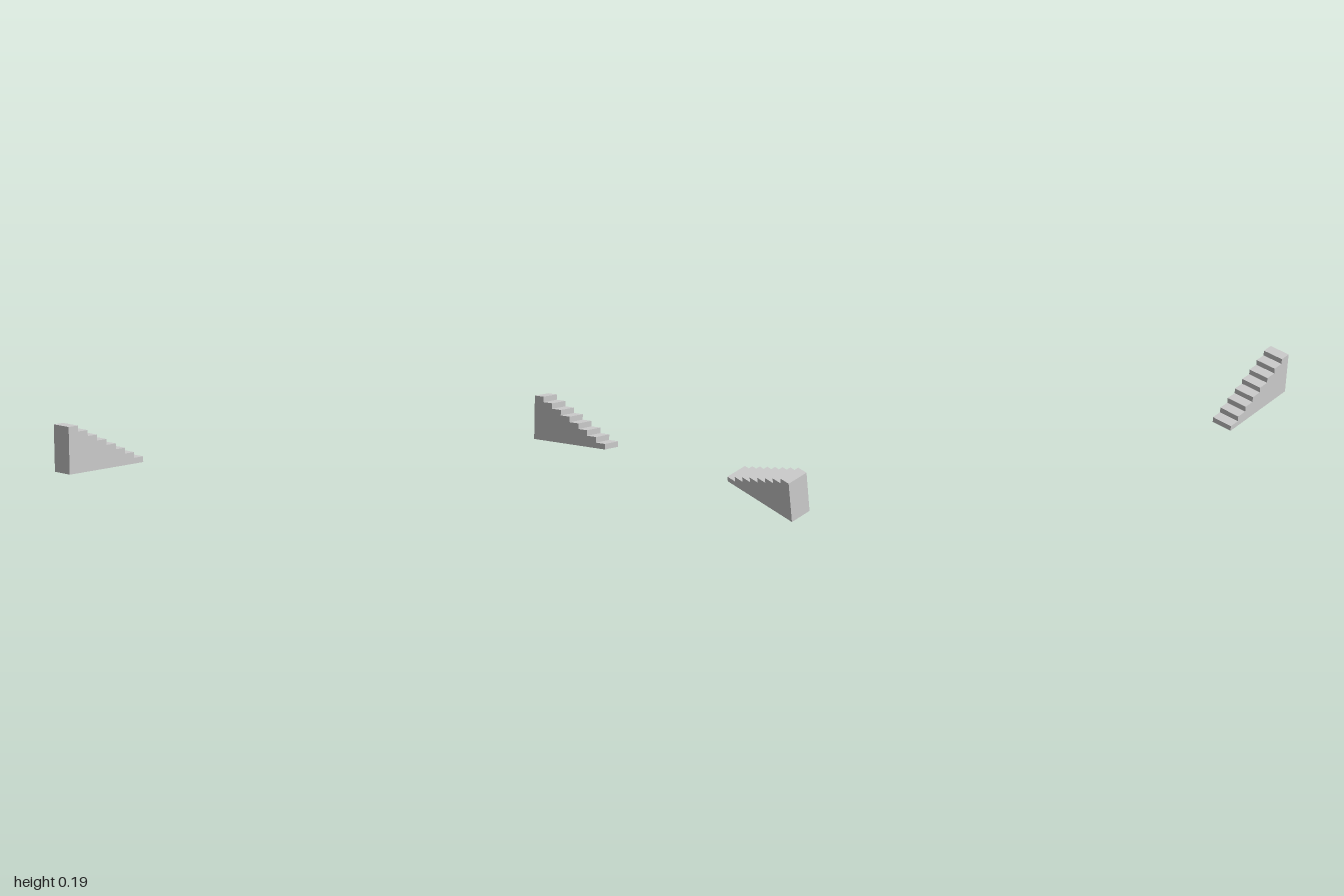
import * as THREE from 'three';

const STEPS = 8, RUN = 0.378, RISE = 0.19, WIDTH = 0.093;
const HALF_X = 0.638, HALF_Z = 1;
const material = new THREE.MeshStandardMaterial({
  color: 0xcccccc, flatShading: true, side: THREE.DoubleSide,
});

function addPart(parent, name, geometry) {
  const mesh = new THREE.Mesh(geometry, material);
  mesh.name = name;
  parent.add(mesh);
  return mesh;
}

// Hollow flight, open underneath: tall end at x = 0, descending towards +x
function createStaircase(name) {
  const stairs = new THREE.Group();
  stairs.name = name;
  const going = RUN / STEPS, riser = RISE / STEPS;

  // Stepped side walls
  const profile = new THREE.Shape().moveTo(0, 0).lineTo(0, RISE);
  for (let i = 0; i < STEPS; i++) {
    const x = (i + 1) * going, y = RISE - i * riser;
    profile.lineTo(x, y);
    profile.lineTo(x, y - riser);

    // Tread and the riser below its front edge
    const tread = addPart(stairs, 'tread',
      new THREE.PlaneGeometry(going, WIDTH).rotateX(-Math.PI / 2));
    tread.position.set(x - going / 2, y, 0);
    const face = addPart(stairs, 'riser',
      new THREE.PlaneGeometry(WIDTH, riser).rotateY(Math.PI / 2));
    face.position.set(x, y - riser / 2, 0);
  }
  for (const side of [1, -1]) {
    const wall = new THREE.ShapeGeometry(profile);
    // Reverse the far wall's corners so that it faces outwards
    if (side < 0) wall.index.array.reverse();
    if (side < 0) wall.attributes.normal.array.fill(-1).forEach((v, i, a) => { a[i] = i % 3 === 2 ? -1 : 0; });
    addPart(stairs, 'sideWall', wall).position.z = side * WIDTH / 2;
  }

  // Tall end wall
  addPart(stairs, 'endWall', new THREE.PlaneGeometry(WIDTH, RISE).rotateY(-Math.PI / 2))
    .position.y = RISE / 2;
  return stairs;
}

export function createModel() {
  const model = new THREE.Group();
  model.name = 'staircases';

  // Rear flight descends towards +x
  const rear = createStaircase('rearStaircase');
  rear.position.set(HALF_X - RUN, 0, -HALF_Z + WIDTH / 2);

  // Front flight descends towards -z
  const front = createStaircase('frontStaircase');
  front.rotation.y = Math.PI / 2;
  front.position.set(-HALF_X + WIDTH / 2, 0, HALF_Z);

  model.add(rear, front);
  return model;
}
